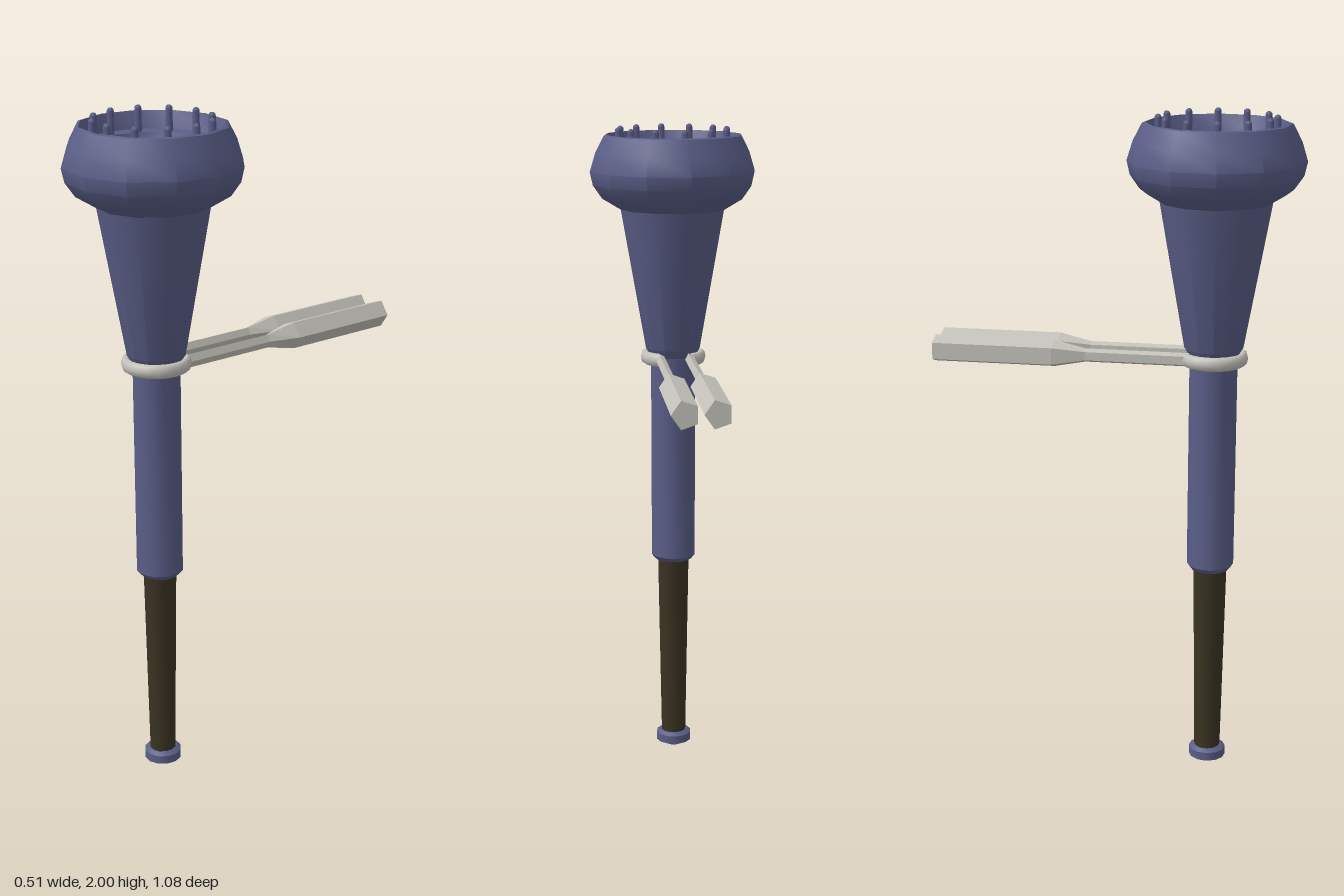
import * as THREE from 'three';
import { toCreasedNormals } from 'three/addons/utils/BufferGeometryUtils.js';

const SIDES = 12;
const TWIST = THREE.MathUtils.degToRad(7);
const AXIS_Z = 0.287;

const blue = new THREE.MeshStandardMaterial({ color: 0x5a5e87 });
const wood = new THREE.MeshStandardMaterial({ color: 0x3a3322 });
const pale = new THREE.MeshStandardMaterial({ color: 0xc4c2ba });
const paleFlat = new THREE.MeshStandardMaterial({ color: 0xc4c2ba, flatShading: true });

function addMesh(parent, name, geometry, material) {
  const mesh = new THREE.Mesh(geometry, material);
  mesh.name = name;
  parent.add(mesh);
  return mesh;
}

// Twelve-sided turned part; profile is [radius, y] pairs, outside from bottom to top
function turned(profile, crease = 0.6) {
  const points = profile.map(([r, y]) => new THREE.Vector2(r, y));
  return toCreasedNormals(new THREE.LatheGeometry(points, SIDES, TWIST), crease);
}

// Five-sided arm that swells into a paddle, running backwards along -z
function armGeometry() {
  const z = [0.22, -0.085, -0.18, -0.54];
  const halfX = [0.014, 0.014, 0.04, 0.04];
  const halfY = [0.021, 0.021, 0.042, 0.042];
  const geometry = new THREE.CylinderGeometry(1, 1, 1, 5, 3, false, Math.PI / 2);
  geometry.rotateX(-Math.PI / 2);
  const p = geometry.attributes.position;
  for (let i = 0; i < p.count; i++) {
    const k = Math.round((0.5 - p.getZ(i)) * 3);
    p.setXYZ(i, p.getX(i) * halfX[k], p.getY(i) * halfY[k], z[k]);
  }
  geometry.computeVertexNormals();
  return geometry;
}

export function createModel() {
  const model = new THREE.Group();
  const staff = new THREE.Group();
  staff.name = 'staff';
  staff.position.z = AXIS_Z;
  model.add(staff);

  // Pommel, handle and shaft
  addMesh(staff, 'pommel', turned([[0, 0], [0.012, 0], [0.056, 0.022], [0.056, 0.048], [0.044, 0.056], [0, 0.056]]), blue);
  addMesh(staff, 'handle', turned([[0.039, 0.04], [0.05, 0.66]]), wood);
  addMesh(staff, 'shaft', turned([[0, 0.645], [0.058, 0.645], [0.07, 0.66], [0.07, 1.31]]), blue);

  // Flared neck and hollow bulb
  addMesh(staff, 'neck', turned([[0.068, 1.3], [0.086, 1.33], [0.163, 1.765]]), blue);
  addMesh(staff, 'bulb', turned([
    [0.155, 1.752], [0.218, 1.79], [0.246, 1.83], [0.255, 1.87], [0.238, 1.925], [0.212, 1.975],
    [0.204, 1.978], [0.184, 1.93], [0.156, 1.925],
  ]), blue);
  addMesh(staff, 'bowl', turned([
    [0.156, 1.925], [0.143, 1.885], [0.112, 1.845], [0.065, 1.82], [0, 1.81],
  ], 1.2), blue);

  // Ring of round-headed pins on the inner ledge
  const pin = new THREE.CapsuleGeometry(0.01, 0.07, 3, 8);
  for (let i = 0; i < SIDES; i++) {
    const a = TWIST + (i / SIDES) * Math.PI * 2;
    addMesh(staff, 'pin', pin, blue).position.set(Math.sin(a) * 0.167, 1.955, Math.cos(a) * 0.167);
  }

  // Clip ring, open at the back where the two arms begin
  const start = THREE.MathUtils.degToRad(-58);
  const ring = new THREE.TorusGeometry(0.087, 0.014, 8, 16, Math.PI - 2 * start);
  ring.rotateZ(start).rotateX(Math.PI / 2).scale(1, 1.5, 1);
  addMesh(staff, 'clipRing', ring, pale).position.y = 1.3;

  const arm = armGeometry();
  for (const side of [-1, 1]) {
    addMesh(model, side > 0 ? 'leftArm' : 'rightArm', arm, paleFlat).position.set(side * 0.045, 1.3, 0);
  }
  return model;
}
